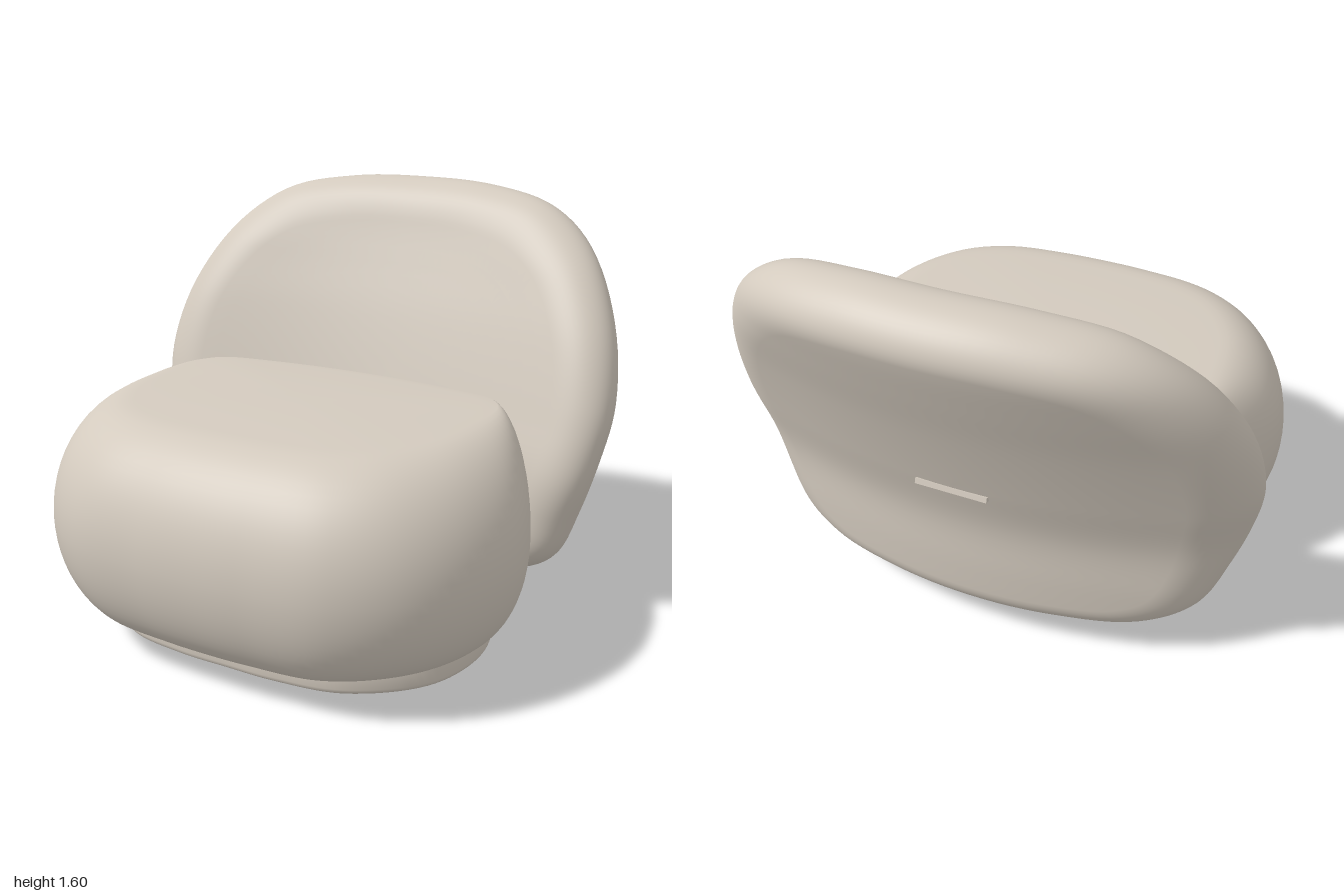
import * as THREE from 'three';
import { toCreasedNormals } from 'three/addons/utils/BufferGeometryUtils.js';

const fabric = new THREE.MeshStandardMaterial({ color: 0xd3cabe });
fabric.name = 'warm beige fabric';

// Closed smooth outline from one half, mirrored in x
function outline(half, n = 128) {
  const mirrored = half.slice(1, -1).reverse().map(([a, b]) => [-a, b]);
  const pts = [...half, ...mirrored].map(([a, b]) => new THREE.Vector3(a, b, 0));
  const curve = new THREE.CatmullRomCurve3(pts, true, 'centripetal');
  return Array.from({ length: n }, (_, i) => curve.getPoint(i / n));
}

// Puffy cushion: bulges from the low outline to the widest one and in to the high one.
// map(a, b, s, dome) places a point; s runs from -1 to 1 across the thickness.
function cushion(low, wide, high, centre, map) {
  const n = wide.length, pos = [], idx = [];
  const capSteps = 12, sideSteps = 28;
  let rings = 0;
  const addRing = (pointAt, s, dome) => {
    for (let j = 0; j < n; j++) {
      const p = pointAt(j);
      pos.push(...map(p.x, p.y, s, dome));
    }
    rings++;
  };
  const c = new THREE.Vector3(0, centre, 0);
  const cap = (line, k, s) => addRing(j => c.clone().lerp(line[j], k), s, 1 - k * k);
  for (let i = 0; i < capSteps; i++) cap(low, i / capSteps, -1);
  for (let i = 0; i <= sideSteps; i++) {
    const phi = (i / sideSteps - 0.5) * Math.PI;
    const inner = phi < 0 ? low : high;
    addRing(j => inner[j].clone().lerp(wide[j], Math.cos(phi)), Math.sin(phi), 0);
  }
  for (let i = capSteps - 1; i >= 0; i--) cap(high, i / capSteps, 1);
  for (let i = 0; i < rings - 1; i++) {
    for (let j = 0; j < n; j++) {
      const k = (j + 1) % n;
      const a = i * n + j, b = i * n + k, d = a + n, e = b + n;
      idx.push(a, d, e, a, e, b);
    }
  }
  const g = new THREE.BufferGeometry();
  g.setAttribute('position', new THREE.Float32BufferAttribute(pos, 3));
  g.setIndex(idx);
  g.computeVertexNormals();
  return g;
}

// Flat slab with softened rims, standing between y0 and y1
function slab(line, y0, y1, bevel) {
  const shape = new THREE.Shape(line.map(p => new THREE.Vector2(p.x, -p.y)));
  const g = new THREE.ExtrudeGeometry(shape, {
    depth: y1 - y0 - 2 * bevel, bevelEnabled: true, bevelSize: bevel,
    bevelThickness: bevel, bevelOffset: -bevel, bevelSegments: 4,
  });
  g.rotateX(-Math.PI / 2).translate(0, y0 + bevel, 0);
  return toCreasedNormals(g, 0.6);
}

// Centre surface of the backrest: a leaning profile, bent forward at the sides
const lean = [[0.1, -0.495], [0.35, -0.507], [0.58, -0.517], [0.8, -0.578],
  [1.08, -0.668], [1.3, -0.75], [1.46, -0.803], [1.6, -0.808]];
function leanAt(y) {
  let i = 0;
  while (i < lean.length - 2 && y > lean[i + 1][0]) i++;
  const slope = k => {
    const p = lean[Math.max(k - 1, 0)], q = lean[Math.min(k + 1, lean.length - 1)];
    return (q[1] - p[1]) / (q[0] - p[0]);
  };
  const [y0, z0] = lean[i], [y1, z1] = lean[i + 1], h = y1 - y0;
  const t = THREE.MathUtils.clamp((y - y0) / h, 0, 1), t2 = t * t, t3 = t2 * t;
  return (2 * t3 - 3 * t2 + 1) * z0 + (t3 - 2 * t2 + t) * h * slope(i)
    + (3 * t2 - 2 * t3) * z1 + (t3 - t2) * h * slope(i + 1);
}
const bend = x => 0.24 * x * x - 0.05 * x ** 6;

export function createModel() {
  const model = new THREE.Group();
  model.name = 'loungeChair';
  const add = (name, geometry) => {
    const mesh = new THREE.Mesh(geometry, fabric);
    mesh.name = name;
    model.add(mesh);
    return mesh;
  };

  // Plinth and base
  const baseLine = outline([[0, -0.42], [0.35, -0.375], [0.6, -0.21], [0.72, 0.02], [0.755, 0.24],
    [0.68, 0.49], [0.45, 0.68], [0.2, 0.727], [0, 0.73]]);
  const plinthLine = baseLine.map(p =>
    new THREE.Vector3(p.x * 0.914, 0.155 + (p.y - 0.155) * 0.88, 0));
  add('plinth', slab(plinthLine, 0, 0.034, 0.003));
  add('base', slab(baseLine, 0.03, 0.126, 0.022));

  // Seat: outlines are x, z from the back round to the front
  const seatLow = outline([[0, -0.235], [0.35, -0.215], [0.55, -0.155], [0.66, 0], [0.72, 0.28],
    [0.66, 0.5], [0.53, 0.65], [0.37, 0.745], [0.16, 0.77], [0, 0.775]]);
  const seatWide = outline([[0, -0.275], [0.4, -0.25], [0.65, -0.18], [0.82, -0.02], [0.918, 0.28],
    [0.86, 0.56], [0.71, 0.78], [0.49, 0.915], [0.2, 0.955], [0, 0.962]]);
  const seatHigh = outline([[0, -0.245], [0.38, -0.22], [0.6, -0.17], [0.665, -0.07], [0.66, 0.12],
    [0.62, 0.36], [0.5, 0.54], [0.36, 0.61], [0.16, 0.64], [0, 0.645]]);
  add('seat', cushion(seatLow, seatWide, seatHigh, 0.2, (x, z, s, dome) =>
    [x, 0.47 + s * (s > 0 ? 0.413 + 0.016 * dome : 0.35), z]));

  // Backrest: outlines are x, y from the top down to the bottom
  const backWide = outline([[0, 1.597], [0.32, 1.585], [0.6, 1.525], [0.8, 1.375], [0.945, 1.12],
    [0.997, 0.85], [0.97, 0.64], [0.905, 0.42], [0.82, 0.23], [0.66, 0.135], [0.35, 0.11], [0, 0.105]]);
  const backInner = outline([[0, 1.43], [0.27, 1.42], [0.5, 1.37], [0.65, 1.25], [0.755, 1.06],
    [0.79, 0.84], [0.77, 0.66], [0.725, 0.46], [0.66, 0.33], [0.54, 0.265], [0.29, 0.245], [0, 0.24]]);
  add('backrest', cushion(backInner, backWide, backInner, 0.8, (x, y, s) =>
    [x, y, leanAt(y) + bend(x) + s * 0.165]));

  // Small pull tab across the rear of the backrest
  const tab = add('rearTab', new THREE.BoxGeometry(0.27, 0.02, 0.03));
  tab.position.set(0, 0.775, -0.732);
  tab.rotation.x = 0.3;
  return model;
}
